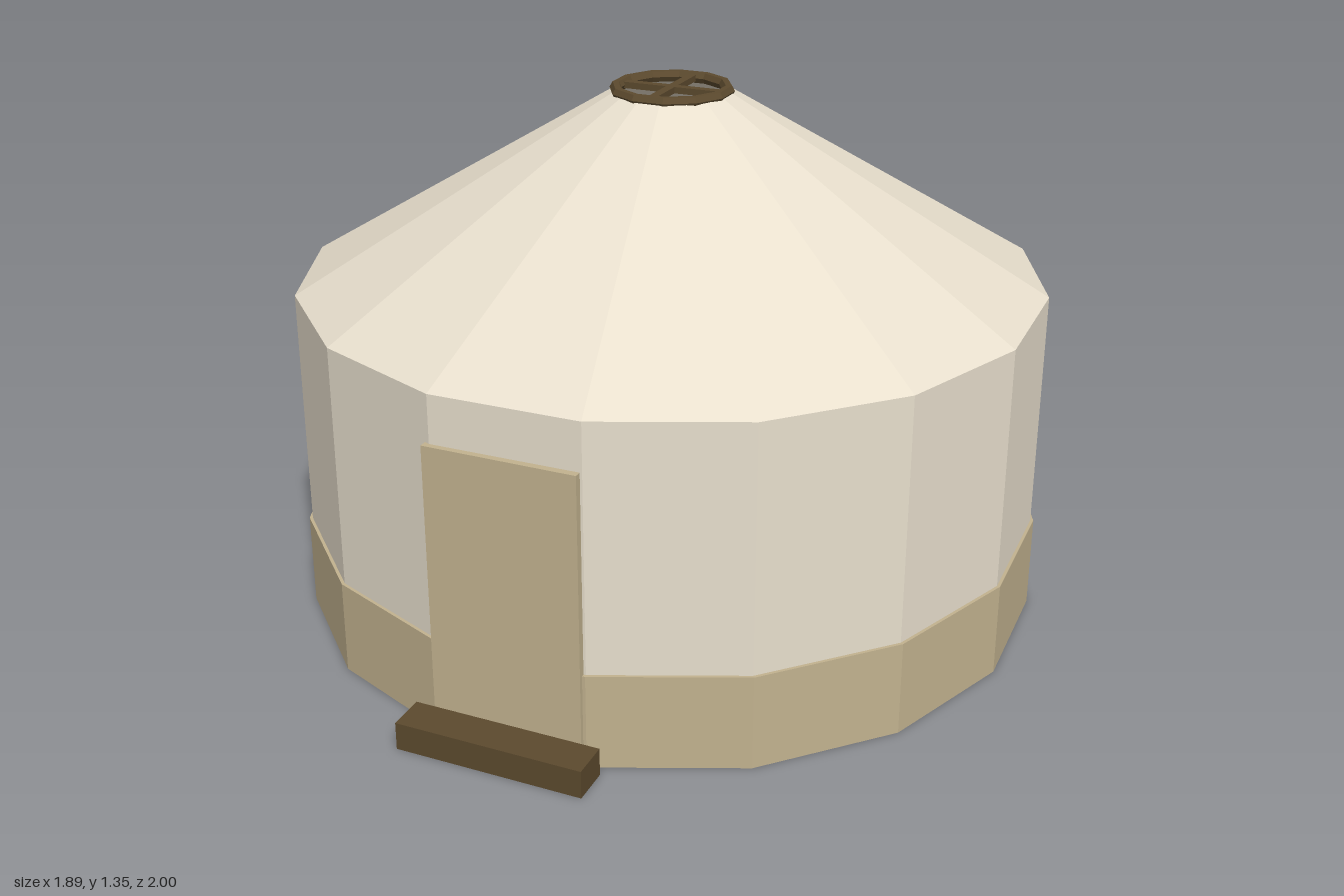
import * as THREE from 'three';

const SIDES = 16;
const CENTRE_Z = -0.053;
const TURN = Math.PI / SIDES + 0.01; // a flat facet faces the door

const material = (color, side = THREE.FrontSide) =>
  new THREE.MeshStandardMaterial({ color, side, flatShading: true });

export function createModel() {
  const model = new THREE.Group();
  model.name = 'roundTent';

  const canvas = material(0xe8dfcd);
  const roofCanvas = material(0xe8dfcd, THREE.DoubleSide);
  const trim = material(0xc2b28f);
  const wood = material(0x5c4a2e);

  const add = (parent, name, geometry, mat, x, y, z) => {
    const mesh = new THREE.Mesh(geometry, mat);
    mesh.name = name;
    mesh.position.set(x, y, z);
    parent.add(mesh);
    return mesh;
  };

  // Faceted drum between two heights
  const drum = (name, rBottom, rTop, y0, y1, mat, open = false) =>
    add(model, name,
      new THREE.CylinderGeometry(rTop, rBottom, y1 - y0, SIDES, 1, open, TURN),
      mat, 0, (y0 + y1) / 2, CENTRE_Z);

  // Base band, wall and open-topped roof
  drum('baseBand', 0.964, 0.964, 0, 0.24, trim);
  drum('wall', 0.956, 0.956, 0.005, 0.86, canvas);
  drum('roof', 0.956, 0.152, 0.86, 1.337, roofCanvas, true);

  // Crown wheel: low-poly ring with two crossed bars
  const crown = new THREE.Group();
  crown.name = 'crownWheel';
  crown.position.set(0, 1.341, CENTRE_Z);
  model.add(crown);
  const ring = new THREE.TorusGeometry(0.142, 0.0155, 6, 12);
  ring.rotateX(Math.PI / 2).rotateY(Math.PI / 12);
  add(crown, 'crownRing', ring, wood, 0, 0, 0);
  for (const [name, turn] of [['crownBarAcross', 0], ['crownBarAlong', Math.PI / 2]]) {
    add(crown, name, new THREE.BoxGeometry(0.28, 0.016, 0.023), wood, 0, 0, 0).rotation.y = turn;
  }

  // Door panel and doorstep
  add(model, 'door', new THREE.BoxGeometry(0.38, 0.74, 0.03), trim, 0, 0.37, 0.886);
  add(model, 'doorstep', new THREE.BoxGeometry(0.474, 0.07, 0.096), wood, 0, 0.035, 0.952);

  return model;
}
